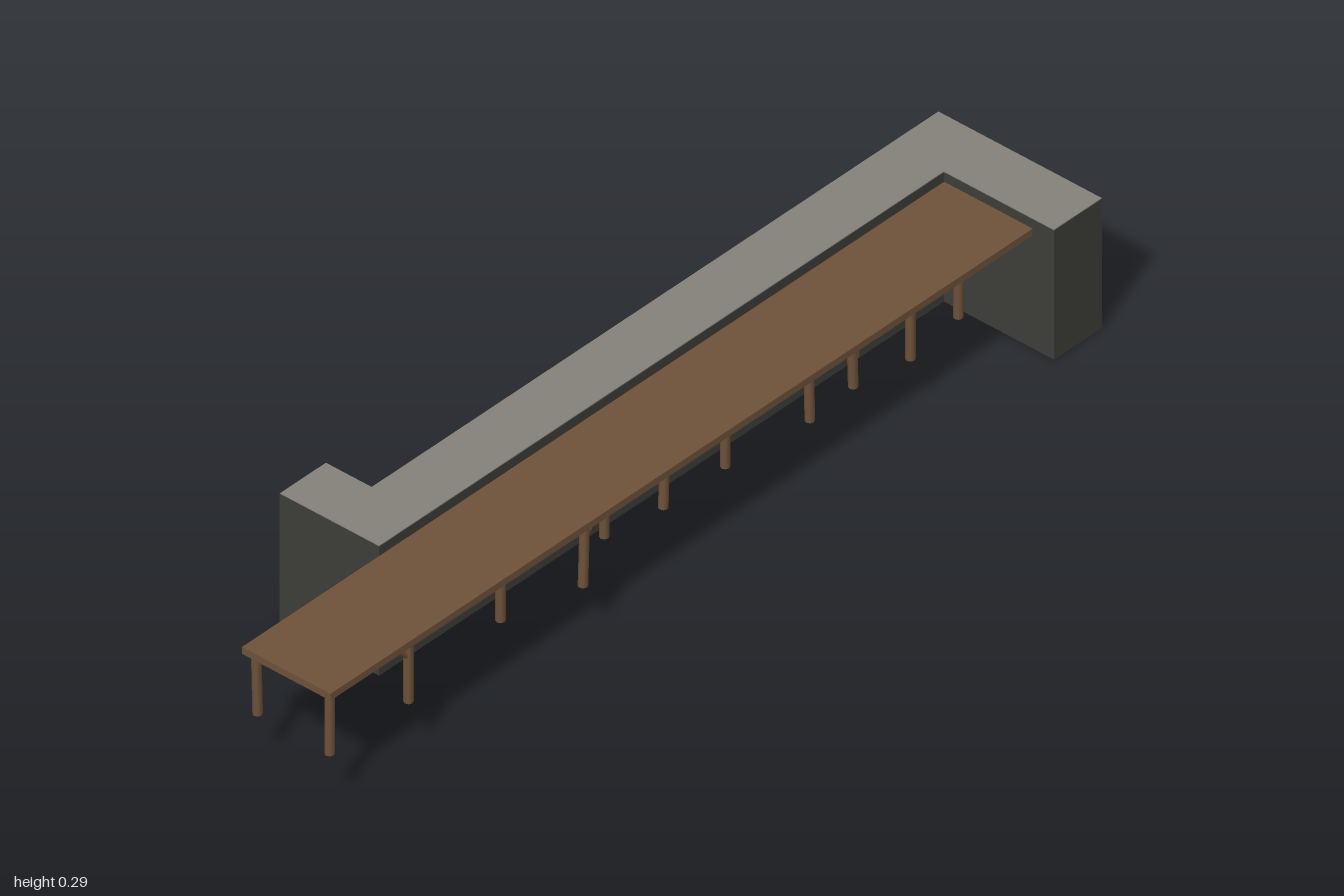
import * as THREE from 'three';

export function createModel() {
  const group = new THREE.Group();
  const mat = (name, color) => {
    const m = new THREE.MeshStandardMaterial({ color });
    m.name = name;
    return m;
  };
  const stone = mat('dark stone', 0x3d3e38);
  stone.side = THREE.DoubleSide;
  const capGrey = mat('cap grey', 0x85817a);
  const wood = mat('wood', 0x6e5239);

  const add = (name, geometry, material, parent = group) => {
    const mesh = new THREE.Mesh(geometry, material);
    mesh.name = name;
    parent.add(mesh);
    return mesh;
  };

  // Quay wall: one upright folded sheet following an S-shaped plan
  const plan = [[-0.51, -0.25], [-0.633, -0.25], [-0.633, -0.012], [0.872, -0.012], [0.872, 0.25], [1, 0.25]];
  const top = 0.285;
  const corners = [];
  for (let i = 0; i < plan.length - 1; i++) {
    const [ax, az] = plan[i], [bx, bz] = plan[i + 1];
    corners.push(ax, 0, az, bx, 0, bz, bx, top, bz, ax, 0, az, bx, top, bz, ax, top, az);
  }
  const wallGeometry = new THREE.BufferGeometry();
  wallGeometry.setAttribute('position', new THREE.Float32BufferAttribute(corners, 3));
  wallGeometry.computeVertexNormals();
  add('quayWall', wallGeometry, stone);

  // Paved cap behind the wall, its land sides left open below
  const e = 0.001;
  const outline = [
    [-0.633 + e, -0.25 + e], [-0.51, -0.25 + e], [-0.51, -0.14], [1, -0.14],
    [1, 0.25 - e], [0.872 + e, 0.25 - e], [0.872 + e, -0.012 - e], [-0.633 + e, -0.012 - e],
  ];
  const capShape = new THREE.Shape(outline.map(([x, z]) => new THREE.Vector2(x, -z)));
  const capGeometry = new THREE.ExtrudeGeometry(capShape, { depth: 0.015, bevelEnabled: false });
  capGeometry.rotateX(-Math.PI / 2);
  add('pavedCap', capGeometry, capGrey).position.y = 0.271;

  // Pier deck with a shallow rim of beams below it
  const box = (name, x0, x1, y0, y1, z0, z1) => {
    const mesh = add(name, new THREE.BoxGeometry(x1 - x0, y1 - y0, z1 - z0), wood);
    mesh.position.set((x0 + x1) / 2, (y0 + y1) / 2, (z0 + z1) / 2);
  };
  box('deck', -1, 0.871, 0.255, 0.265, -0.011, 0.2);
  box('frontBeam', -1, 0.871, 0.25, 0.255, 0.188, 0.2);
  box('backBeam', -1, 0.871, 0.25, 0.255, -0.011, 0.001);
  box('endBeam', -1, -0.988, 0.25, 0.255, 0.001, 0.188);

  // Round timber between two points
  const log = (name, a, b, radius) => {
    const from = new THREE.Vector3(...a), to = new THREE.Vector3(...b);
    const dir = to.clone().sub(from);
    const mesh = add(name, new THREE.CylinderGeometry(radius, radius, dir.length(), 8), wood);
    mesh.position.copy(from).add(to).multiplyScalar(0.5);
    mesh.quaternion.setFromUnitVectors(new THREE.Vector3(0, 1, 0), dir.normalize());
  };

  // Posts: x, z and the sideways lean of the foot
  const posts = [
    [-0.98, 0.18, 0], [-0.98, 0.005, 0.004], [-0.77, 0.18, 0], [-0.48, 0.14, 0],
    [-0.3, 0.18, -0.005], [-0.17, 0.11, 0], [-0.03, 0.13, -0.005], [0.13, 0.13, 0],
    [0.33, 0.15, 0.003], [0.455, 0.14, 0.005], [0.53, 0.08, 0], [0.59, 0.16, 0], [0.74, 0.14, 0],
  ];
  for (const [x, z, lean] of posts) log('post', [x + lean, 0.113, z], [x, 0.256, z], 0.0095);

  // Rails, brace and the stub set into the wall
  log('rail', [-0.3, 0.21, 0.18], [-0.17, 0.208, 0.11], 0.004);
  log('rail', [0.13, 0.214, 0.13], [0.33, 0.205, 0.15], 0.004);
  log('brace', [-0.81, 0.252, 0.18], [-0.775, 0.215, 0.18], 0.005);
  log('wallStub', [0.84, 0.21, 0.13], [0.878, 0.195, 0.128], 0.006);

  return group;
}
